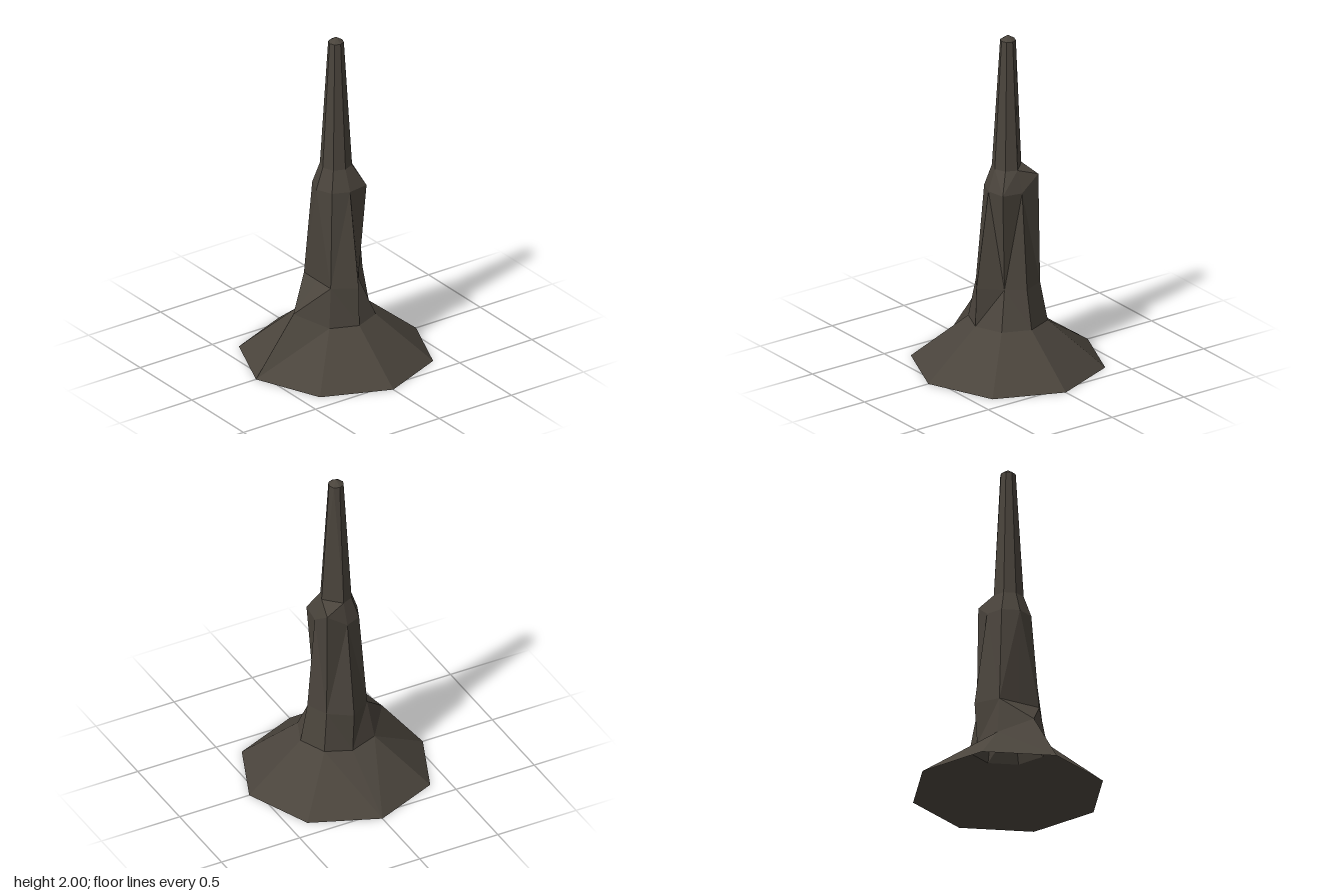
import * as THREE from 'three';

const SIDES = 8;

// Eight-sided ring; column 0 is +x, 2 is +z, 4 is -x, 6 is -z.
// moved: { column: [x, y, z] } replaces single corners of the ring.
function ring(radius, y, moved = {}) {
  return Array.from({ length: SIDES }, (_, k) => {
    const a = (k * Math.PI) / 4;
    return moved[k] || [radius * Math.cos(a), y, radius * Math.sin(a)];
  });
}

// Facets between two rings; diagonals alternate so they meet at the odd or even columns.
function band(lower, upper, evenLow) {
  const out = [];
  for (let k = 0; k < SIDES; k++) {
    const n = (k + 1) % SIDES;
    const [a, b, c, d] = [lower[k], lower[n], upper[n], upper[k]];
    if ((k % 2 === 0) === evenLow) out.push(a, c, b, a, d, c);
    else out.push(a, d, b, b, d, c);
  }
  return out;
}

export function createModel() {
  const group = new THREE.Group();
  const darkStone = new THREE.MeshStandardMaterial({ color: 0x4a443c, flatShading: true, side: THREE.DoubleSide });
  darkStone.name = 'darkStone';

  function add(name, corners) {
    const g = new THREE.BufferGeometry();
    g.setAttribute('position', new THREE.Float32BufferAttribute(corners.flat(), 3));
    g.computeVertexNormals();
    const mesh = new THREE.Mesh(g, darkStone);
    mesh.name = name;
    group.add(mesh);
  }

  const foot = ring(0.555, 0);
  // spur on the -x side, slight hollow at the back
  const skirt = ring(0.227, 0.27, { 4: [-0.295, 0.335, 0], 6: [0, 0.25, -0.2] });
  // dent at the front corner
  const waist = ring(0.183, 0.5, {
    1: [0.09, 0.49, 0.09], 2: [0, 0.5, 0.22], 4: [-0.13, 0.5, 0], 6: [0, 0.5, -0.217],
  });
  // two knobs on the shoulder
  const shoulder = ring(0.136, 1.075, { 1: [0.122, 1.08, 0.125], 7: [0.122, 1.16, -0.123] });
  const neck = ring(0.092, 1.2, { 7: [0.047, 1.2, -0.047] });
  const top = ring(0.045, 1.97);
  const apex = Array(SIDES).fill([0, 2, 0]);

  add('flaredBase', band(foot, skirt, true));
  add('lowerTrunk', band(skirt, waist, true));
  add('trunk', band(waist, shoulder, false));
  add('shoulder', band(shoulder, neck, false));
  add('spire', band(neck, top, true));
  // pointed tip as a fan
  const tip = [];
  top.forEach((p, k) => tip.push(p, apex[k], top[(k + 1) % SIDES]));
  add('tip', tip);

  return group;
}
